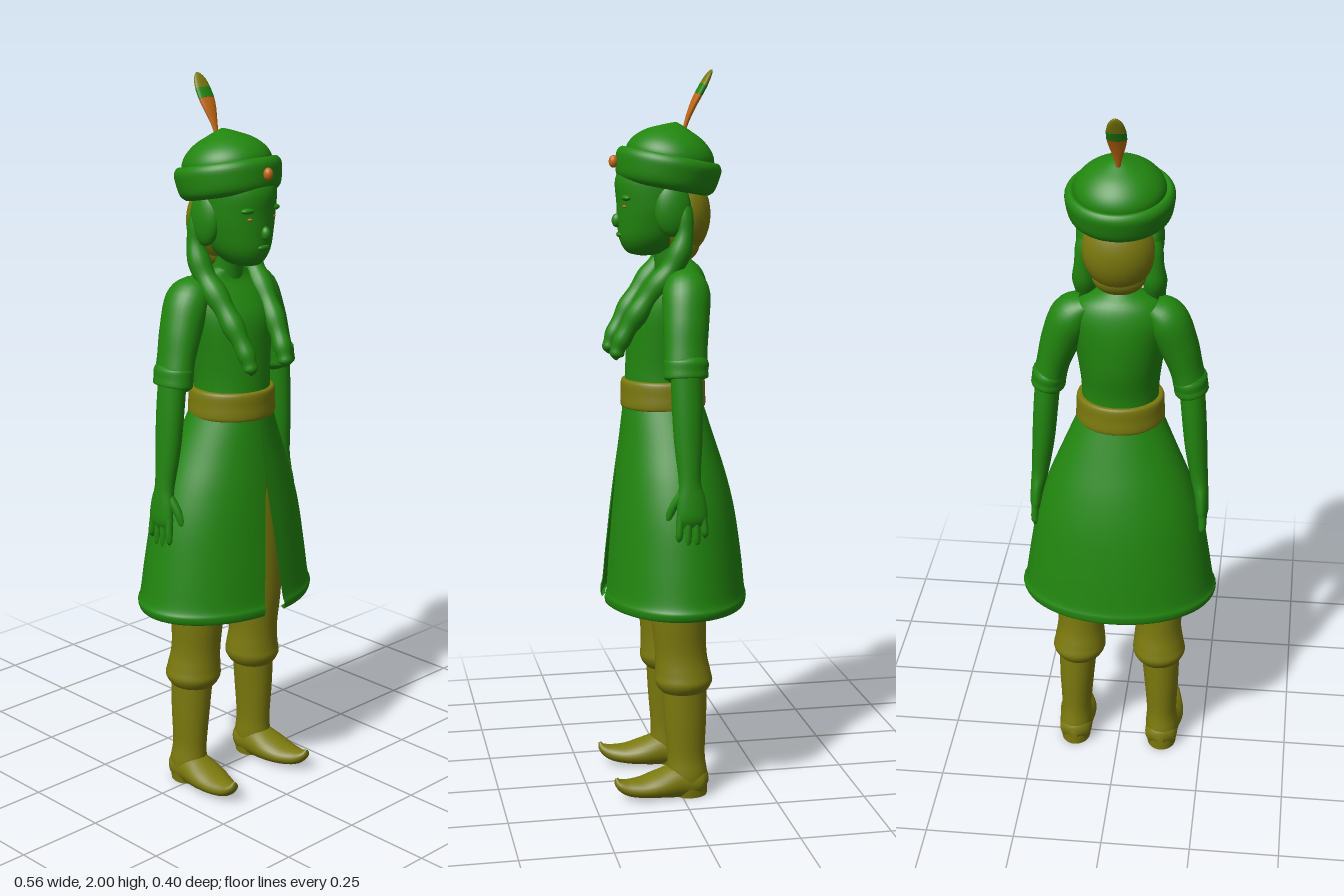
import * as THREE from 'three';

const mat = (name, color, side = THREE.FrontSide) => {
  const m = new THREE.MeshStandardMaterial({ color, side });
  m.name = name;
  return m;
};
const X = new THREE.Vector3(1, 0, 0), Y = new THREE.Vector3(0, 1, 0);

// Skins smooth rings along a path. Each point is [x, y, z, rx, rFront, rBack].
// level keeps the rings horizontal; gap(y) opens a slit at the front; braid adds bumps.
function sweep(pts, { steps = 24, seg = 28, level = false, gap = null, braid = 0 } = {}) {
  const path = new THREE.CatmullRomCurve3(pts.map(p => new THREE.Vector3(p[0], p[1], p[2])), false, 'catmullrom', 0.5);
  const radii = new THREE.CatmullRomCurve3(
    pts.map(([, , , a, b = a, c = b]) => new THREE.Vector3(a, b, c)), false, 'catmullrom', 0.5);
  const cols = gap ? seg + 1 : seg, pos = [], idx = [];
  for (let i = 0; i <= steps; i++) {
    const t = i / steps, p = path.getPoint(t), r = radii.getPoint(t);
    const T = level ? Y : path.getTangent(t);
    const side = X.clone().addScaledVector(T, -T.dot(X)).normalize();
    const up = side.clone().cross(T);
    const k = 1 + braid * Math.sin(t * Math.PI * 12);
    const d = gap ? Math.asin(Math.min(1, gap(p.y) / r.x)) : 0;
    for (let j = 0; j < cols; j++) {
      const a = Math.PI / 2 + d + (j / seg) * (Math.PI * 2 - 2 * d), s = Math.sin(a);
      const v = p.clone().addScaledVector(side, Math.cos(a) * r.x * k).addScaledVector(up, s * (s > 0 ? r.y : r.z) * k);
      pos.push(v.x, v.y, v.z);
    }
  }
  for (let i = 0; i < steps; i++) for (let j = 0; j < seg; j++) {
    const n = (j + 1) % cols, a = i * cols + j, b = i * cols + n, c = a + cols, e = b + cols;
    idx.push(a, c, b, b, c, e);
  }
  const g = new THREE.BufferGeometry();
  g.setAttribute('position', new THREE.Float32BufferAttribute(pos, 3));
  g.setIndex(idx);
  g.computeVertexNormals();
  return g;
}

export function createModel() {
  const root = new THREE.Group();
  root.name = 'figure';
  const green = mat('green', 0x22860f), cloth = mat('coat green', 0x22860f, THREE.DoubleSide);
  const olive = mat('olive', 0x7c7a0e), orange = mat('orange', 0xc46a12);
  const add = (name, geo, m, parent = root) => {
    const mesh = new THREE.Mesh(geo, m);
    mesh.name = name;
    parent.add(mesh);
    return mesh;
  };
  const ball = (name, m, p, s) => {
    const b = add(name, new THREE.SphereGeometry(1, 24, 18), m);
    b.position.set(...p);
    b.scale.set(...s);
    return b;
  };
  const lathe = pts => new THREE.LatheGeometry(
    new THREE.SplineCurve(pts.map(p => new THREE.Vector2(...p))).getPoints(28), 48);

  // Upper coat with neck opening
  add('bodice', sweep([
    [0, 1.08, 0.022, 0.112, 0.11, 0.1], [0, 1.18, 0.022, 0.106, 0.108, 0.1],
    [0, 1.27, 0.02, 0.115, 0.105, 0.115], [0, 1.36, 0.01, 0.13, 0.105, 0.11],
    [0, 1.42, -0.005, 0.135, 0.085, 0.09], [0, 1.465, -0.015, 0.105, 0.06, 0.065],
    [0, 1.495, -0.005, 0.05, 0.045, 0.045]], { level: true, seg: 36 }), green);
  add('neck', sweep([[0, 1.44, -0.005, 0.055, 0.05], [0, 1.5, 0.005, 0.045, 0.045],
    [0, 1.58, 0.025, 0.045, 0.045]], { level: true, steps: 8 }), green);

  // Belt
  add('belt', sweep([[0, 1.088, 0.022, 0.105, 0.105, 0.095], [0, 1.092, 0.022, 0.122, 0.12, 0.113],
    [0, 1.128, 0.022, 0.122, 0.12, 0.113], [0, 1.163, 0.022, 0.119, 0.118, 0.111],
    [0, 1.167, 0.022, 0.1, 0.1, 0.095]], { level: true, seg: 40 }), olive);

  // Flared coat skirt, slit at the front, with rolled hem
  add('skirt', sweep([
    [0, 0.548, 0, 0.262, 0.186, 0.188], [0, 0.54, 0, 0.272, 0.196, 0.2], [0, 0.56, 0, 0.279, 0.2, 0.204],
    [0, 0.585, 0, 0.27, 0.194, 0.199], [0, 0.68, 0, 0.255, 0.185, 0.189], [0, 0.8, 0, 0.234, 0.172, 0.171],
    [0, 0.9, 0, 0.204, 0.16, 0.147], [0, 1.0, 0, 0.163, 0.147, 0.115], [0, 1.11, 0.01, 0.115, 0.125, 0.09]],
  { level: true, seg: 56, steps: 48, gap: y => Math.max(0, 0.93 - y) * 0.1 }), cloth);
  add('hips', sweep([[0, 0.74, 0, 0.01, 0.01], [0, 0.78, 0, 0.14, 0.085], [0, 0.88, 0, 0.16, 0.1],
    [0, 1.0, 0.01, 0.12, 0.1]], { level: true, steps: 14 }), olive);

  // Head and face
  add('head', sweep([
    [0, 1.505, 0.075, 0.012, 0.02, 0.02], [0, 1.515, 0.07, 0.042, 0.055, 0.06], [0, 1.55, 0.055, 0.072, 0.09, 0.09],
    [0, 1.6, 0.04, 0.09, 0.11, 0.1], [0, 1.65, 0.035, 0.1, 0.117, 0.1], [0, 1.71, 0.03, 0.105, 0.125, 0.1],
    [0, 1.76, 0.02, 0.1, 0.11, 0.1]], { level: true, seg: 36 }), green);
  ball('nose', green, [0, 1.6, 0.151], [0.013, 0.019, 0.015]);
  ball('lips', green, [0, 1.562, 0.144], [0.02, 0.008, 0.009]);
  ball('hairBack', olive, [0, 1.615, -0.022], [0.099, 0.115, 0.083]);
  ball('hairNape', olive, [0, 1.535, -0.025], [0.072, 0.05, 0.05]);

  // Hat: rolled brim and dome, tipped back
  const hat = new THREE.Group();
  hat.name = 'hat';
  hat.position.set(0, 1.73, 0.013);
  hat.rotation.x = -0.19;
  root.add(hat);
  add('hatBrim', lathe([[0.09, -0.035], [0.115, -0.045], [0.135, -0.03], [0.143, 0.005], [0.144, 0.03],
    [0.132, 0.045], [0.117, 0.037], [0.108, 0.02]]), green, hat);
  add('hatDome', lathe([[0.121, 0.025], [0.12, 0.052], [0.105, 0.078], [0.076, 0.102], [0.04, 0.119],
    [0.013, 0.13], [0.0001, 0.134]]), green, hat);
  ball('hatJewel', orange, [0, 1.758, 0.16], [0.013, 0.017, 0.013]);

  // Feather in three coloured lengths
  [['featherBase', orange, [[0, 1.845, -0.035, 0.006, 0.005], [0, 1.875, -0.045, 0.012, 0.007],
    [0, 1.91, -0.06, 0.022, 0.009], [0, 1.935, -0.073, 0.027, 0.01]]],
  ['featherBand', green, [[0, 1.935, -0.073, 0.027, 0.01], [0, 1.96, -0.087, 0.026, 0.01]]],
  ['featherTip', olive, [[0, 1.96, -0.087, 0.026, 0.01], [0, 1.982, -0.099, 0.02, 0.008],
    [0, 1.995, -0.107, 0.01, 0.005], [0, 2.0, -0.111, 0.001, 0.001]]]]
    .forEach(([n, m, p]) => add(n, sweep(p, { steps: 10, seg: 16 }), m));

  // Mirrored parts
  for (const s of [1, -1]) {
    const side = s > 0 ? 'left' : 'right';
    const mx = pts => pts.map(([x, ...r]) => [s * x, ...r]);

    // Face sides, hair and braid
    ball(side + 'Eye', orange, [s * 0.043, 1.64, 0.137], [0.008, 0.004, 0.006]);
    ball(side + 'Brow', green, [s * 0.043, 1.663, 0.132], [0.026, 0.009, 0.014]);
    ball(side + 'HairSide', green, [s * 0.09, 1.635, 0.015], [0.027, 0.075, 0.05]);
    add(side + 'Braid', sweep(mx([
      [0.088, 1.64, -0.015, 0.022], [0.096, 1.56, -0.015, 0.026], [0.092, 1.48, 0.015, 0.032],
      [0.083, 1.41, 0.07, 0.031], [0.075, 1.34, 0.118, 0.028], [0.068, 1.28, 0.152, 0.023],
      [0.066, 1.245, 0.165, 0.019], [0.065, 1.228, 0.167, 0.003]]), { steps: 60, seg: 18, braid: 0.08 }), green);

    // Sleeve and cuff
    add(side + 'Sleeve', sweep(mx([
      [0.085, 1.455, -0.02, 0.03, 0.045], [0.125, 1.415, -0.015, 0.058, 0.064], [0.158, 1.34, -0.008, 0.054, 0.062],
      [0.18, 1.27, -0.003, 0.046, 0.058], [0.195, 1.205, 0, 0.042, 0.056], [0.196, 1.2, 0, 0.02, 0.03]])), green);
    add(side + 'Cuff', sweep(mx([
      [0.19, 1.242, -0.002, 0.036, 0.048], [0.191, 1.237, -0.002, 0.047, 0.06], [0.194, 1.215, 0, 0.047, 0.06],
      [0.197, 1.194, 0, 0.046, 0.059], [0.198, 1.19, 0, 0.03, 0.04]])), green);

    // Arm, hand and fingers
    add(side + 'Arm', sweep(mx([
      [0.195, 1.24, 0, 0.035, 0.042], [0.205, 1.12, -0.002, 0.034, 0.042], [0.213, 1.02, -0.003, 0.031, 0.038],
      [0.224, 0.92, -0.005, 0.024, 0.03], [0.231, 0.87, -0.008, 0.02, 0.038], [0.234, 0.82, -0.01, 0.018, 0.042],
      [0.235, 0.795, -0.01, 0.008, 0.03]])), green);
    [0.025, 0.002, -0.021, -0.043].forEach((z, i) => {
      const tip = [0.752, 0.738, 0.74, 0.762][i];
      add(side + 'Finger' + (i + 1), sweep(mx([
        [0.234, 0.83, z * 0.9, 0.011], [0.237, (0.82 + tip) / 2, z, 0.0105],
        [0.236, tip + 0.012, z * 1.05, 0.009], [0.234, tip, z * 1.05, 0.001]]), { steps: 10, seg: 10 }), green);
    });
    add(side + 'Thumb', sweep(mx([
      [0.226, 0.89, 0.012, 0.014], [0.218, 0.85, 0.038, 0.012], [0.212, 0.815, 0.05, 0.01],
      [0.21, 0.8, 0.052, 0.001]]), { steps: 10, seg: 10 }), green);

    // Trouser leg gathered over the boot
    add(side + 'Trouser', sweep(mx([
      [0.118, 0.295, -0.01, 0.045, 0.05], [0.118, 0.305, -0.01, 0.062, 0.066], [0.118, 0.33, -0.01, 0.076, 0.08],
      [0.116, 0.36, -0.008, 0.073, 0.077], [0.114, 0.42, -0.002, 0.067, 0.072], [0.113, 0.54, 0.005, 0.074, 0.078],
      [0.105, 0.7, 0.005, 0.083, 0.085], [0.095, 0.86, 0, 0.085, 0.09]]), { level: true, steps: 36 }), olive);

    // Boot shaft and curled foot, flattened on the ground
    add(side + 'BootShaft', sweep(mx([
      [0.13, 0.0, -0.022, 0.042, 0.04, 0.052], [0.13, 0.06, -0.018, 0.048, 0.055, 0.057],
      [0.128, 0.12, -0.014, 0.044, 0.052, 0.054], [0.126, 0.22, -0.012, 0.05, 0.058, 0.06],
      [0.122, 0.32, -0.01, 0.056, 0.062, 0.064]]), { level: true }), olive);
    const foot = sweep(mx([
      [0.129, 0.035, -0.077, 0.01], [0.129, 0.04, -0.055, 0.044, 0.042], [0.13, 0.043, 0.0, 0.049, 0.05],
      [0.133, 0.036, 0.06, 0.055, 0.038], [0.138, 0.031, 0.11, 0.047, 0.028], [0.143, 0.035, 0.152, 0.033, 0.022],
      [0.146, 0.049, 0.178, 0.02, 0.013], [0.147, 0.067, 0.187, 0.003]]), { steps: 36 });
    const p = foot.attributes.position;
    for (let i = 0; i < p.count; i++) p.setY(i, Math.max(0, p.getY(i)));
    foot.computeVertexNormals();
    add(side + 'Foot', foot, olive);
    add(side + 'Sole', new THREE.CircleGeometry(1, 28).rotateX(Math.PI / 2)
      .scale(0.042, 1, 0.05).translate(s * 0.13, 0.001, -0.022), olive);
  }
  return root;
}
